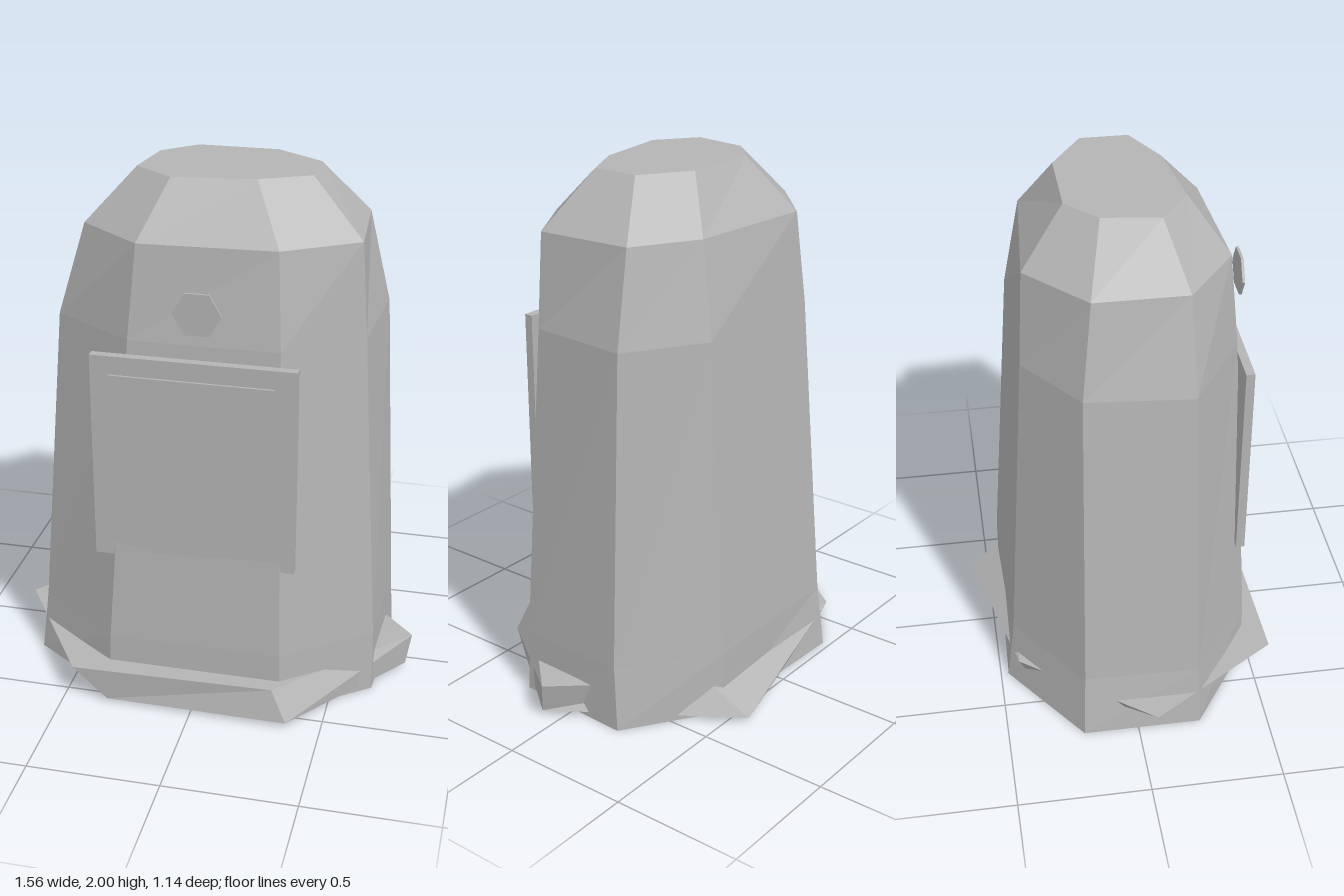
import * as THREE from 'three';

// Faceted solid from stacked rings of [x, y, z] corners, clockwise from above, bottom ring first
function loft(rings) {
  const n = rings[0].length, pos = [];
  const tri = (a, b, c) => pos.push(...a, ...b, ...c);
  for (let r = 0; r < rings.length - 1; r++) {
    for (let i = 0; i < n; i++) {
      const j = (i + 1) % n, lo = rings[r], up = rings[r + 1];
      tri(lo[j], lo[i], up[i]);
      tri(lo[j], up[i], up[j]);
    }
  }
  const bottom = rings[0], top = rings[rings.length - 1];
  for (let i = 1; i < n - 1; i++) {
    tri(bottom[0], bottom[i], bottom[i + 1]);
    tri(top[0], top[i + 1], top[i]);
  }
  const g = new THREE.BufferGeometry();
  g.setAttribute('position', new THREE.Float32BufferAttribute(pos, 3));
  g.computeVertexNormals();
  return g;
}

const level = (y, pts) => pts.map(([x, z]) => [x, y, z]);

export function createModel() {
  const group = new THREE.Group();
  const stone = new THREE.MeshStandardMaterial({ color: 0xb4b4b4 });
  stone.name = 'grey stone';
  const add = (name, geometry, x = 0, y = 0, z = 0) => {
    const mesh = new THREE.Mesh(geometry, stone);
    mesh.name = name;
    mesh.position.set(x, y, z);
    group.add(mesh);
    return mesh;
  };

  // Uneven eight-sided body, tapering to a bevelled crown
  add('body', loft([
    level(0, [[-0.33, -0.47], [0.33, -0.45], [0.67, -0.22], [0.65, 0.24], [0.33, 0.48], [-0.34, 0.48], [-0.69, 0.24], [-0.69, -0.21]]),
    level(0.25, [[-0.32, -0.44], [0.32, -0.45], [0.66, -0.2], [0.645, 0.235], [0.325, 0.477], [-0.33, 0.475], [-0.66, 0.235], [-0.65, -0.2]]),
    level(1.45, [[-0.27, -0.37], [0.31, -0.37], [0.6, -0.19], [0.57, 0.2], [0.3, 0.41], [-0.25, 0.415], [-0.565, 0.21], [-0.53, -0.18]]),
    level(1.8, [[-0.23, -0.35], [0.28, -0.31], [0.52, -0.17], [0.545, 0.195], [0.28, 0.36], [-0.22, 0.385], [-0.46, 0.2], [-0.46, -0.14]]),
    level(2, [[-0.13, -0.19], [0.17, -0.19], [0.35, -0.07], [0.35, 0.11], [0.17, 0.2], [-0.13, 0.24], [-0.28, 0.13], [-0.25, -0.08]]),
  ]));

  // Rough six-cornered slab whose corners jut out around the foot
  add('baseSlab', loft([
    [[-0.38, 0.02, -0.38], [0.33, 0.02, -0.57], [0.76, 0.02, 0.07], [0.37, 0.02, 0.57], [-0.33, 0.01, 0.55], [-0.62, 0.03, 0.06]],
    [[-0.41, 0.14, -0.43], [0.36, 0.13, -0.41], [0.78, 0.14, 0.05], [0.31, 0.14, 0.54], [-0.46, 0.14, 0.56], [-0.78, 0.14, 0.06]],
  ]));

  // Front door: frame slab with a raised panel
  add('doorFrame', new THREE.BoxGeometry(0.75, 0.8, 0.033), -0.005, 1, 0.4385);
  add('doorPanel', new THREE.BoxGeometry(0.6, 0.65, 0.009), -0.01, 1.005, 0.4595);

  // Six-sided disc above the door
  add('disc', new THREE.CylinderGeometry(0.088, 0.088, 0.01, 6).rotateY(Math.PI / 2).rotateX(Math.PI / 2).toNonIndexed(), 0.018, 1.59, 0.471)
    .geometry.computeVertexNormals();

  return group;
}
